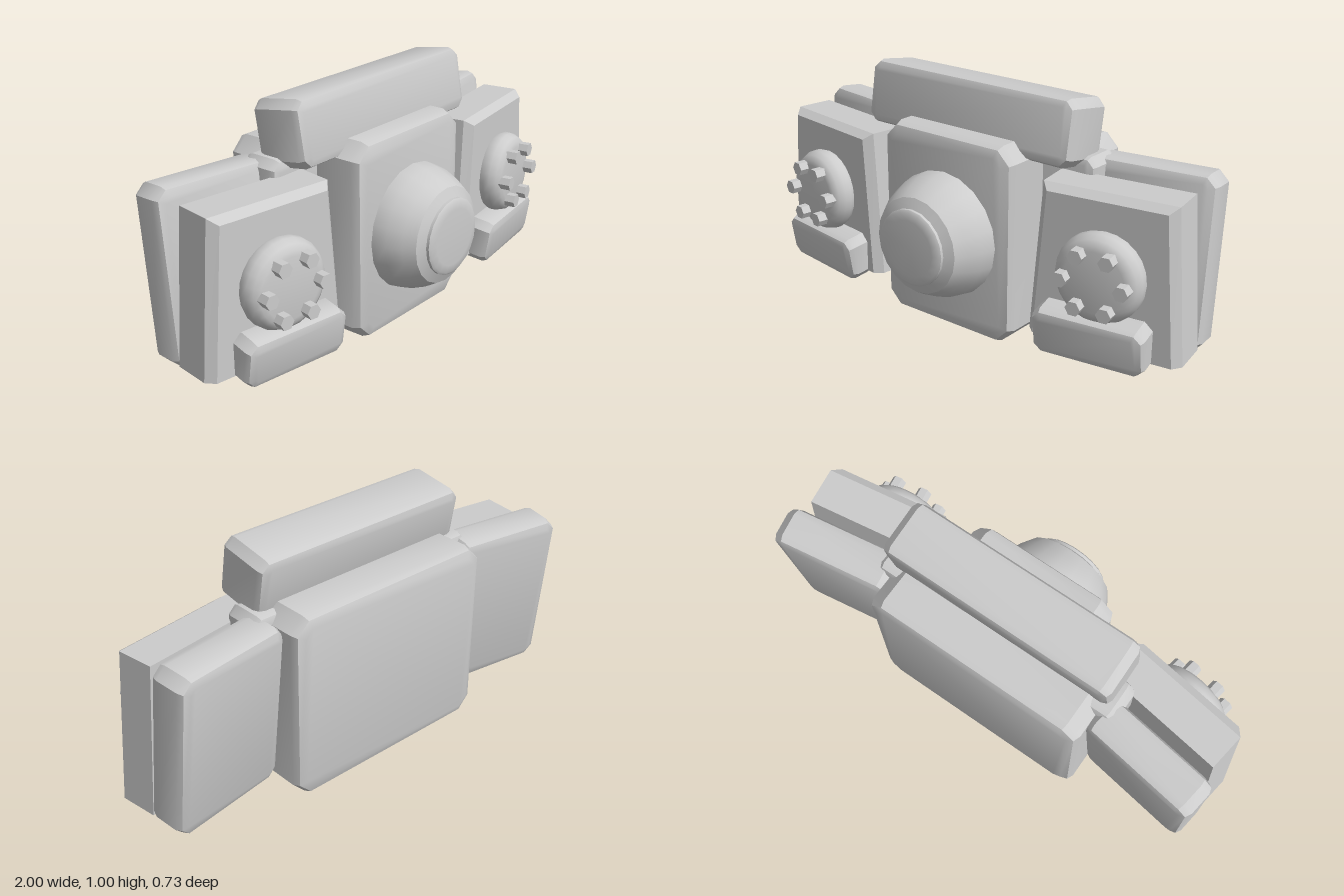
import * as THREE from 'three';
import { toCreasedNormals } from 'three/addons/utils/BufferGeometryUtils.js';

const steel = new THREE.MeshStandardMaterial({ color: 0xcccccc });
steel.name = 'light steel grey';

function add(parent, name, geometry, x = 0, y = 0, z = 0, tilt = 0) {
  const mesh = new THREE.Mesh(geometry, steel);
  mesh.name = name;
  mesh.position.set(x, y, z);
  mesh.rotation.x = tilt;
  parent.add(mesh);
  return mesh;
}

// Box with softly bevelled front and back rims (b) and cut corners (c)
function chamferBox(w, h, d, b, c) {
  const x = w / 2 - b, y = h / 2 - b;
  const outline = [[x, c - y], [x, y - c], [x - c, y], [c - x, y],
    [-x, y - c], [-x, c - y], [c - x, -y], [x - c, -y]];
  const shape = new THREE.Shape(outline.map(p => new THREE.Vector2(...p)));
  const geo = new THREE.ExtrudeGeometry(shape, {
    depth: d - 2 * b, bevelEnabled: true, bevelSize: b, bevelThickness: b, bevelSegments: 2,
  });
  return toCreasedNormals(geo.translate(0, 0, b - d / 2), 0.6);
}

// Round part turned about the z axis, from [radius, z] points
function turned(points, sides) {
  const geo = new THREE.LatheGeometry(points.map(p => new THREE.Vector2(...p)), sides);
  return toCreasedNormals(geo.rotateX(Math.PI / 2), 0.55);
}

// Tapered pod: wider at the base, with the front face inset
function podGeometry() {
  const box = new THREE.BoxGeometry(0.63, 0.61, 0.19, 1, 1, 2);
  const p = box.attributes.position;
  for (let i = 0; i < p.count; i++) {
    const top = p.getY(i) > 0;
    const z = p.getZ(i);
    let half = top ? 0.265 : 0.312;
    if (z > 0.05) {
      half -= 0.03;
      if (top) p.setY(i, p.getY(i) - 0.025);
    }
    p.setX(i, Math.sign(p.getX(i)) * half);
    if (Math.abs(z) < 0.01) p.setZ(i, 0.06);
  }
  const geo = box.toNonIndexed();
  geo.computeVertexNormals();
  return geo;
}

// One angled side: pod, bolted disc, foot block, rear panel and the block between
function sideUnit(s) {
  const side = new THREE.Group();
  side.name = s > 0 ? 'leftSide' : 'rightSide';
  side.position.x = s * 0.685;
  side.rotation.y = s * 0.15;
  add(side, 'pod', podGeometry(), 0, 0.405, 0);
  add(side, 'rearPanel', chamferBox(0.51, 0.69, 0.165, 0.035, 0.02), s * 0.064, 0.41, -0.199, -0.1);
  add(side, 'spacerBlock', chamferBox(0.52, 0.2, 0.09, 0.02, 0.01), s * -0.07, 0.165, -0.125);
  add(side, 'footBlock', chamferBox(0.45, 0.19, 0.13, 0.03, 0.015), s * -0.02, 0.165, 0.12, 0.16);

  const disc = new THREE.Group();
  disc.name = 'boltedDisc';
  disc.position.set(s * 0.004, 0.41, 0.09);
  side.add(disc);
  add(disc, 'disc', turned([[0.165, 0], [0.175, 0.025], [0.173, 0.05], [0.16, 0.077],
    [0.14, 0.091], [0.12, 0.095], [0, 0.095]], 24));
  for (let i = 0; i < 6; i++) {
    const a = i * Math.PI / 3;
    const bolt = new THREE.CylinderGeometry(0.03, 0.03, 0.05, 6).toNonIndexed();
    bolt.computeVertexNormals();
    bolt.rotateX(Math.PI / 2).rotateZ(Math.PI / 6);
    add(disc, 'bolt', bolt, 0.12 * Math.cos(a), 0.115 * Math.sin(a), 0.11);
  }
  return side;
}

export function createModel() {
  const model = new THREE.Group();
  model.name = 'armouredBelt';

  // Centre
  add(model, 'backPlate', chamferBox(0.95, 0.77, 0.31, 0.04, 0.035), 0, 0.405, -0.205);
  add(model, 'frontBlock', chamferBox(0.64, 0.81, 0.31, 0.045, 0.035), 0, 0.405, 0.005);
  add(model, 'topBar', chamferBox(1.0, 0.26, 0.235, 0.032, 0.015), 0, 0.857, -0.075, -0.165);
  add(model, 'dome', turned([[0.255, 0.1], [0.256, 0.17], [0.246, 0.22], [0.222, 0.28],
    [0.195, 0.325], [0.155, 0.343], [0.155, 0.355], [0.145, 0.362], [0.115, 0.365],
    [0, 0.365]], 20), 0, 0.405, 0);

  // Cross bar joining the sides
  add(model, 'crossBar', chamferBox(1.1, 0.19, 0.17, 0.03, 0.015), 0, 0.675, -0.135);

  for (const s of [1, -1]) model.add(sideUnit(s));
  return model;
}
